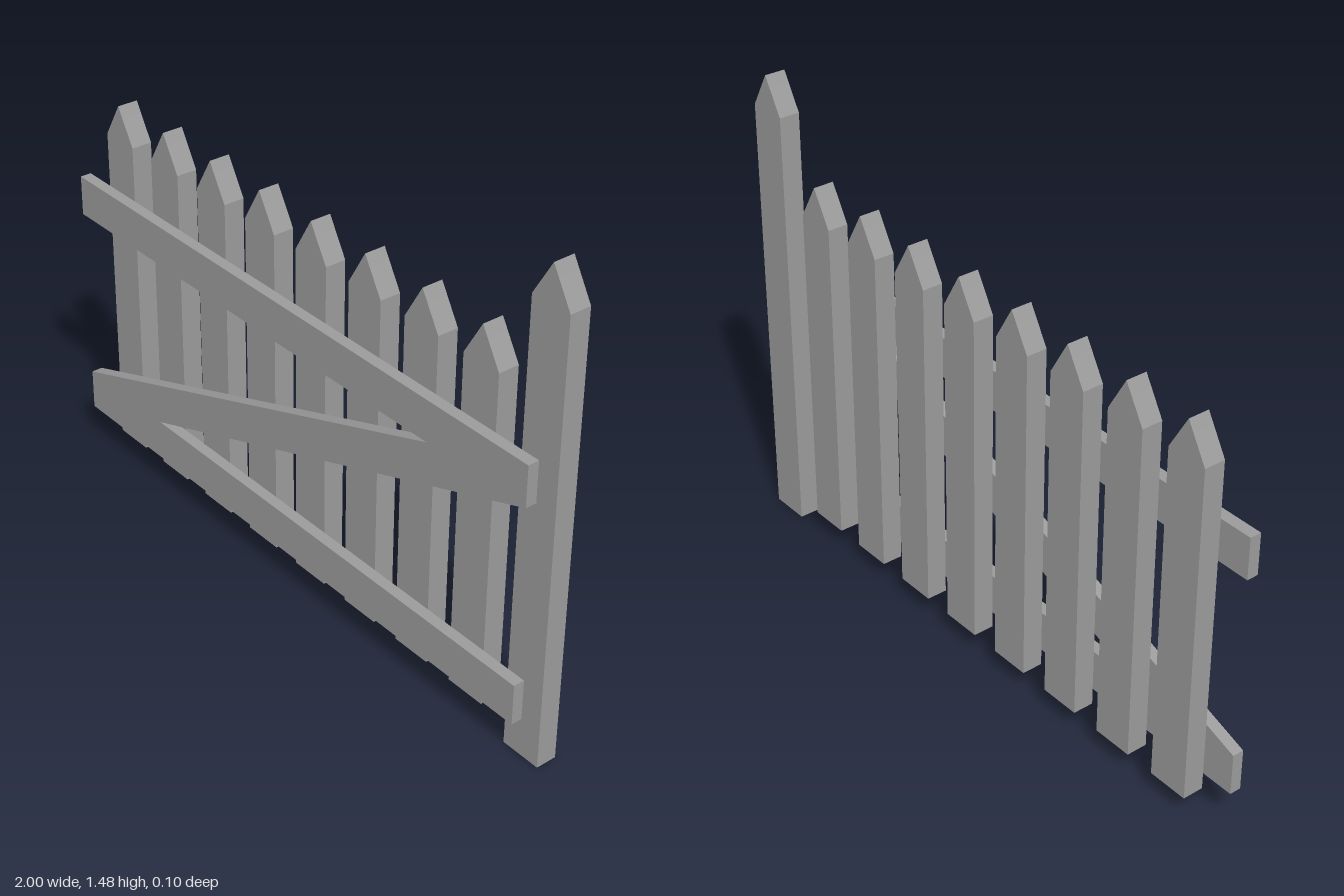
import * as THREE from 'three';

const material = new THREE.MeshStandardMaterial({ color: 0x9b9b9b });

// Flat board cut to an outline, running from z0 to z1
function board(name, points, z0, z1) {
  const shape = new THREE.Shape(points.map(([x, y]) => new THREE.Vector2(x, y)));
  const geometry = new THREE.ExtrudeGeometry(shape, { depth: z1 - z0, bevelEnabled: false });
  geometry.translate(0, 0, z0);
  const mesh = new THREE.Mesh(geometry, material);
  mesh.name = name;
  return mesh;
}

// Upright with a pointed top, its two slopes shaded smoothly over the ridge
function upright(name, x, bottom, tip) {
  const h = 0.064, shoulder = tip - 0.11;
  const mesh = board(name, [
    [x - h, bottom], [x + h, bottom], [x + h, shoulder], [x, tip], [x - h, shoulder],
  ], -0.05, 0.015);
  const { position, normal } = mesh.geometry.attributes;
  for (let i = 0; i < position.count; i++) {
    const onRidge = position.getY(i) > tip - 0.001;
    const onSlope = Math.abs(normal.getZ(i)) < 0.5;
    if (onRidge && onSlope) normal.setXYZ(i, 0, 1, 0);
  }
  return mesh;
}

export function createModel() {
  const gate = new THREE.Group();
  gate.name = 'picketGate';

  // Eight evenly spaced pickets
  const pickets = new THREE.Group();
  pickets.name = 'pickets';
  for (let i = 0; i < 8; i++) {
    pickets.add(upright(`picket${i + 1}`, -0.833 + i * 0.2211, 0.068, 1.215));
  }
  gate.add(pickets);

  // Taller end post
  gate.add(upright('post', 0.936, 0, 1.482));

  // Z-shaped frame: two rails joined by a diagonal brace
  gate.add(board('frame', [
    [-1, 0.12], [0.932, 0.12], [0.932, 0.249], [-0.632, 0.249],
    [0.932, 0.808], [0.932, 0.934], [-1, 0.934], [-1, 0.808],
    [0.567, 0.808], [-1, 0.249],
  ], 0.015, 0.05));

  return gate;
}
